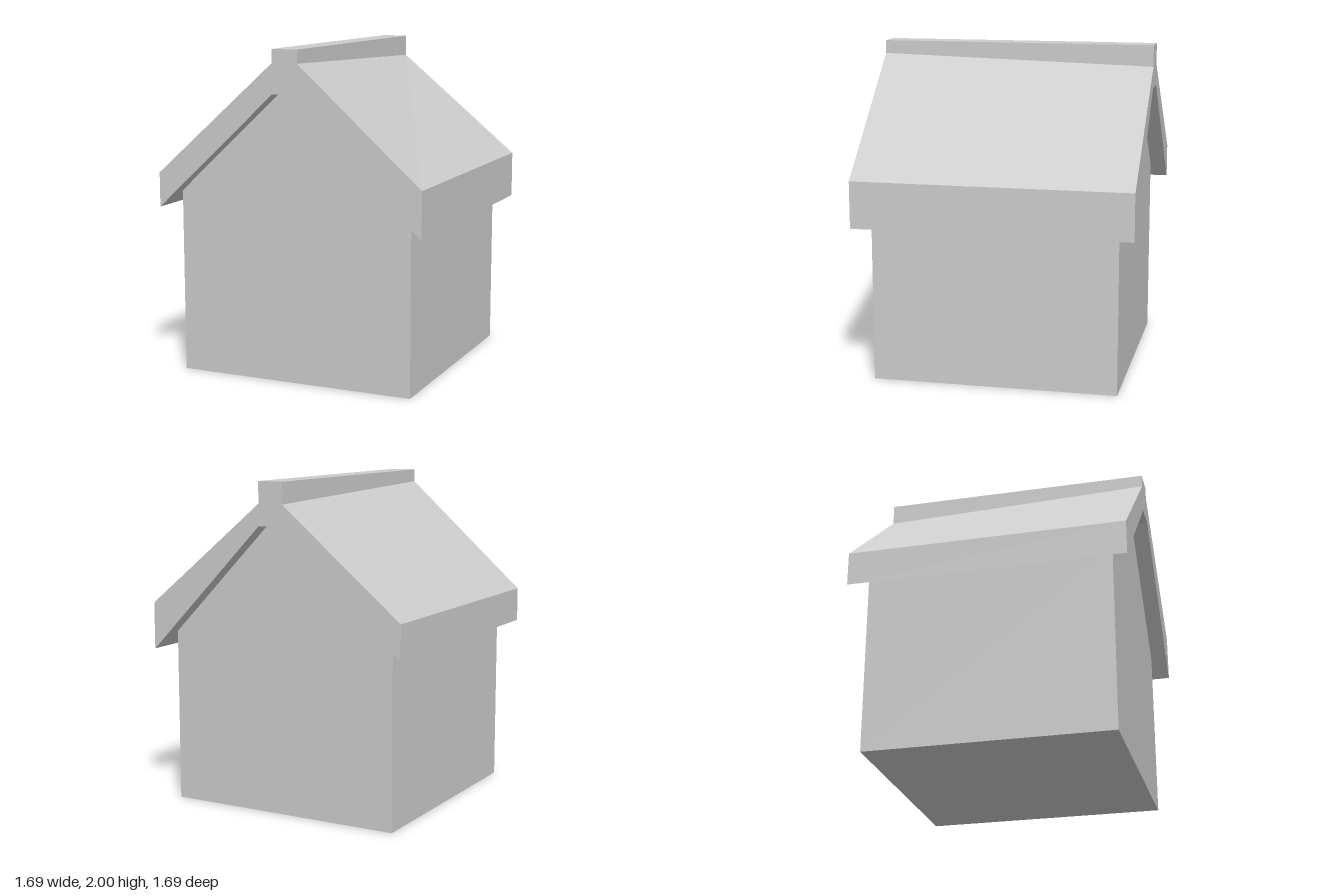
import * as THREE from 'three';

const BODY = 0.745;   // half width and half depth of the walls
const ROOF = 0.845;   // half width and half depth of the roof
const RIDGE = 0.08;   // half width of the ridge
const SOFFIT = 1.74;  // height of the roof's underside at the ridge
const EAVE_TOP = 1.24;
const EAVE_LEFT = 0.955, EAVE_RIGHT = 1.03; // underside of the two eaves
const RIDGE_FOOT_FRONT = 1.92, RIDGE_FOOT_BACK = 1.87;

// Extrude a profile along z, centred on z = 0
function prism(points, halfDepth) {
  const shape = new THREE.Shape(points.map(([x, y]) => new THREE.Vector2(x, y)));
  const geometry = new THREE.ExtrudeGeometry(shape, { depth: 2 * halfDepth, bevelEnabled: false });
  return geometry.translate(0, 0, -halfDepth);
}

// Height of the sloping underside where it meets a wall
function wallTop(eave) {
  return THREE.MathUtils.mapLinear(BODY, RIDGE, ROOF, SOFFIT, eave);
}

export function createModel() {
  const group = new THREE.Group();
  const grey = new THREE.MeshStandardMaterial({ color: 0xcccccc });
  grey.name = 'light grey';

  // Walls with gables reaching up to the underside of the roof
  const walls = new THREE.Mesh(prism([
    [-BODY, 0], [BODY, 0], [BODY, wallTop(EAVE_LEFT)],
    [RIDGE, SOFFIT], [-RIDGE, SOFFIT], [-BODY, wallTop(EAVE_RIGHT)],
  ], BODY), grey);
  walls.name = 'walls';

  // Roof with a raised square ridge; its eaves differ in thickness
  const roofGeometry = prism([
    [ROOF, EAVE_LEFT], [ROOF, EAVE_TOP], [RIDGE, RIDGE_FOOT_FRONT], [RIDGE, 2],
    [-RIDGE, 2], [-RIDGE, RIDGE_FOOT_FRONT], [-ROOF, EAVE_TOP], [-ROOF, EAVE_RIGHT],
    [-RIDGE, SOFFIT], [RIDGE, SOFFIT],
  ], ROOF);

  // Slopes meet the ridge a little lower at the back
  const position = roofGeometry.attributes.position;
  for (let i = 0; i < position.count; i++) {
    if (position.getZ(i) < 0 && Math.abs(position.getY(i) - RIDGE_FOOT_FRONT) < 0.001) {
      position.setY(i, RIDGE_FOOT_BACK);
    }
  }
  roofGeometry.computeVertexNormals();
  const roof = new THREE.Mesh(roofGeometry, grey);
  roof.name = 'roof';

  group.add(walls, roof);
  return group;
}
